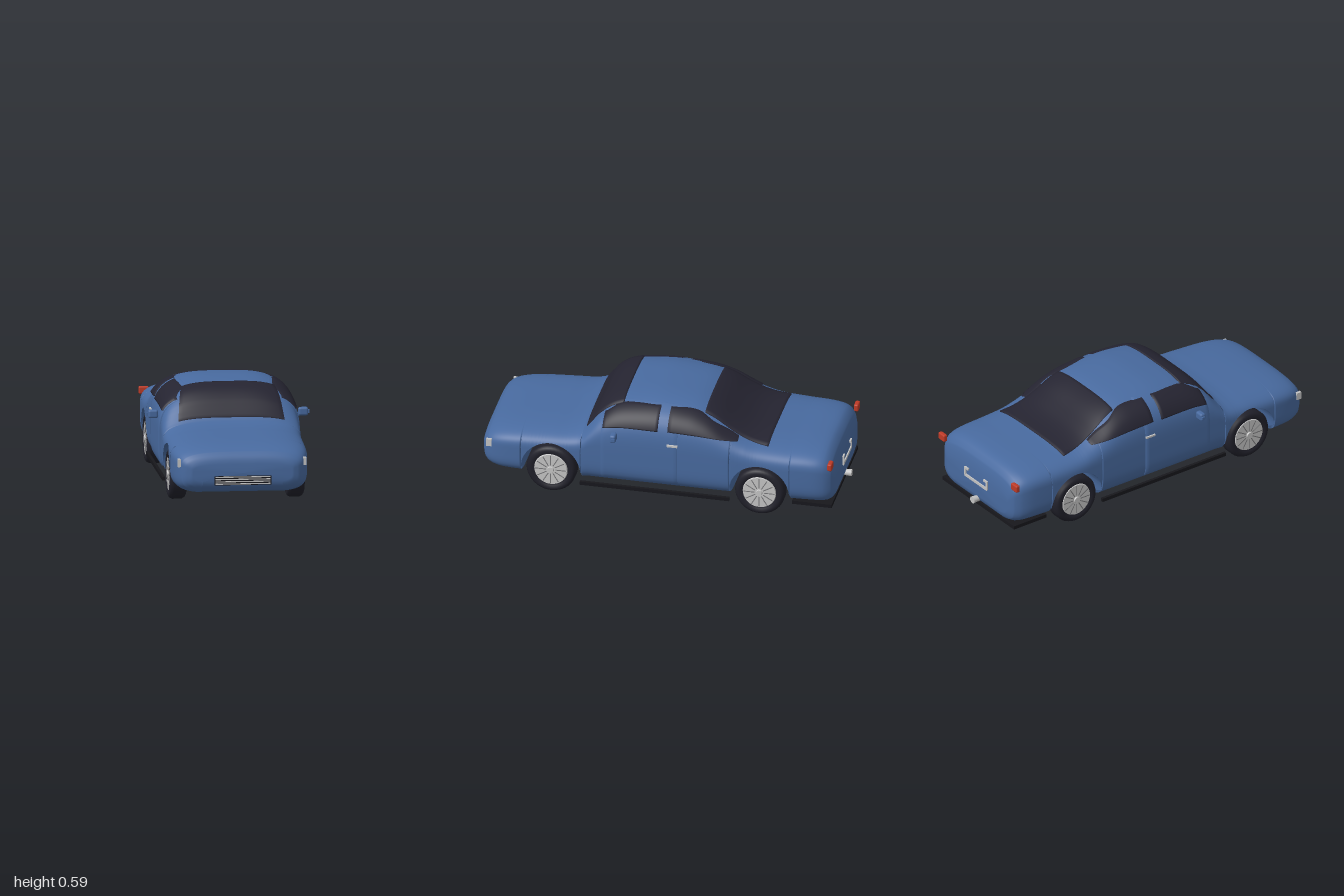
import * as THREE from 'three';
import { RoundedBoxGeometry } from 'three/addons/geometries/RoundedBoxGeometry.js';

const mat = (name, color) => {
  const m = new THREE.MeshStandardMaterial({ color });
  m.name = name;
  return m;
};

// smooth interpolation through [z, value] points
function curve(pts) {
  const n = pts.length;
  const slope = i => {
    const a = pts[Math.max(i - 1, 0)], b = pts[Math.min(i + 1, n - 1)];
    return (b[1] - a[1]) / (b[0] - a[0]);
  };
  return z => {
    if (z <= pts[0][0]) return pts[0][1];
    if (z >= pts[n - 1][0]) return pts[n - 1][1];
    let i = 0;
    while (z > pts[i + 1][0]) i++;
    const h = pts[i + 1][0] - pts[i][0], t = (z - pts[i][0]) / h, t2 = t * t, t3 = t2 * t;
    return (2 * t3 - 3 * t2 + 1) * pts[i][1] + (t3 - 2 * t2 + t) * h * slope(i)
      + (3 * t2 - 2 * t3) * pts[i + 1][1] + (t3 - t2) * h * slope(i + 1);
  };
}

// body shape along its length: roofline, half width and underside
const top = curve([[-.97, .26], [-.96, .33], [-.93, .38], [-.85, .4], [-.7, .405], [-.55, .415], [-.47, .435],
  [-.39, .475], [-.31, .525], [-.25, .552], [-.17, .572], [0, .586], [.12, .58], [.225, .565], [.29, .54],
  [.35, .49], [.385, .44], [.43, .392], [.5, .373], [.6, .366], [.8, .352], [.9, .336], [.95, .315], [.98, .28], [.988, .25]]);
const halfWidth = curve([[-.97, .27], [-.96, .31], [-.93, .343], [-.85, .365], [-.6, .375], [-.1, .379],
  [.3, .379], [.7, .375], [.85, .366], [.93, .345], [.97, .315], [.988, .27]]);
const bottom = curve([[-.97, .13], [-.96, .1], [-.93, .08], [-.85, .078], [.85, .078], [.9, .081], [.95, .095], [.98, .125], [.988, .15]]);
const UP = 3.3, LOW = 5, ARCH = .165, AXLES = [.595, -.565], AXLE_Y = .138;

const section = z => {
  const T = top(z), B = bottom(z), W = halfWidth(z);
  return { T, B, W, yb: Math.min(.29, B + .6 * (T - B)) };
};
// surface lookups used to lay panels on the body
function sideX(z, y) {
  const { T, B, W, yb } = section(z);
  const d = y > yb ? (y - yb) / (T - yb) : (yb - y) / (yb - B), n = y > yb ? UP : LOW;
  return W * Math.pow(Math.max(0, 1 - Math.pow(d, n)), 1 / n);
}
function topY(x, z) {
  const { T, W, yb } = section(z);
  return yb + (T - yb) * Math.pow(Math.max(0, 1 - Math.pow(Math.abs(x) / W, UP)), 1 / UP);
}
// underside height, raised over the wheels
function sillY(z) {
  let y = bottom(z) + .005;
  for (const c of AXLES) {
    const d = Math.abs(z - c);
    if (d <= ARCH) y = AXLE_Y + Math.sqrt(ARCH * ARCH - d * d);
    else if (d < ARCH + .005) y += (AXLE_Y - y) * (1 - (d - ARCH) / .005);
  }
  return y;
}

// surface from rows of points
function grid(rows) {
  const pos = [], idx = [], w = rows[0].length;
  rows.forEach(r => r.forEach(p => pos.push(...p)));
  for (let i = 0; i < rows.length - 1; i++) for (let j = 0; j < w - 1; j++) {
    const a = i * w + j, b = a + 1, c = a + w, d = c + 1;
    idx.push(a, b, c, b, d, c);
  }
  const g = new THREE.BufferGeometry();
  g.setAttribute('position', new THREE.Float32BufferAttribute(pos, 3));
  g.setIndex(idx);
  g.computeVertexNormals();
  return g;
}

// panel following f(u, v, offset), with its border turned down into the body
function panel(f, off, flip = false, n = 18) {
  const rows = [];
  for (let i = -1; i <= n + 1; i++) {
    const row = [];
    for (let j = -1; j <= n + 1; j++) {
      const edge = i < 0 || j < 0 || i > n || j > n;
      const u = THREE.MathUtils.clamp(i / n, 0, 1), v = THREE.MathUtils.clamp(j / n, 0, 1);
      row.push(f(u, v, edge ? -.002 : off));
    }
    rows.push(flip ? row.reverse() : row);
  }
  return grid(rows);
}

export function createModel() {
  const car = new THREE.Group();
  const paint = mat('bluePaint', 0x486a9f), glass = mat('darkGlass', 0x252431), rubber = mat('tyreRubber', 0x20202a);
  const silver = mat('silver', 0xc4c4c4), red = mat('redLamp', 0xbd3a26), black = mat('blackTrim', 0x17171c);
  const groove = mat('rimGroove', 0x77777a);
  const add = (name, geo, m, x = 0, y = 0, z = 0, parent = car) => {
    const mesh = new THREE.Mesh(geo, m);
    mesh.name = name;
    mesh.position.set(x, y, z);
    parent.add(mesh);
    return mesh;
  };
  const box = (name, w, h, d, m, x, y, z, parent) => add(name, new THREE.BoxGeometry(w, h, d), m, x, y, z, parent);
  const { lerp } = THREE.MathUtils;

  // body shell and floor, lofted along z
  const zs = [-.97, -.967, -.963, -.955, .955, .97, .977, .983, .988];
  for (let i = 0; i <= 95; i++) zs.push(-.95 + i * .02);
  for (const c of AXLES) {
    for (let k = 0; k <= 28; k++) zs.push(c + ARCH * Math.cos(k * Math.PI / 28));
    for (const d of [.17, .173]) zs.push(c + d, c - d);
  }
  zs.sort((a, b) => a - b);
  const stations = zs.filter((z, i) => !i || z - zs[i - 1] > 1e-4);
  const shell = [], floor = [], N = 44;
  for (const z of stations) {
    const { T, B, W, yb } = section(z), y0 = sillY(z);
    const s0 = y0 < yb ? -Math.pow((yb - y0) / (yb - B), LOW / 2) : Math.pow((y0 - yb) / (T - yb), UP / 2);
    const t0 = Math.asin(s0), half = [];
    for (let j = 0; j <= N; j++) {
      const t = lerp(t0, Math.PI / 2, j / N), s = Math.sin(t), n = s < 0 ? LOW : UP;
      const x = W * Math.pow(Math.max(0, Math.cos(t)), 2 / n);
      half.push([x, s < 0 ? yb - (yb - B) * Math.pow(-s, 2 / n) : yb + (T - yb) * Math.pow(s, 2 / n), z]);
    }
    shell.push([...half, ...half.slice(0, -1).reverse().map(p => [-p[0], p[1], p[2]])]);
    floor.push([-1, -.5, 0, .5, 1].map(k => [k * half[0][0], y0, z]));
  }
  for (const rows of [shell, floor]) {
    rows.unshift(rows[0].map(() => [0, .2, -.973]));
    rows.push(rows[0].map(() => [0, .2, .991]));
  }
  add('bodyShell', grid(shell), paint);
  add('floor', grid(floor), paint);

  // windscreen and rear window
  const screen = (z0, z1, w0, w1) => panel((u, v, o) => {
    const z = lerp(z0, z1, u), x = lerp(1, -1, v) * lerp(w0, w1, u);
    return [x, topY(x, z) + o, z];
  }, .008, false, 24);
  add('windscreen', screen(.21, .41, .255, .29), glass);
  add('rearWindow', screen(-.6, -.24, .25, .292), glass).geometry = screen(-.6, -.24, .292, .25);

  // doors and side windows
  const windowTop = curve([[-.435, .43], [-.3, .5], [-.2, .545], [-.055, .556], [0, .558], [.15, .553], [.23, .54], [.31, .495]]);
  const frontSill = curve([[-.12, .45], [.2, .45], [.31, .435]]);
  const rearSill = curve([[-.435, .418], [-.25, .445], [-.055, .455]]);
  const sidePanel = (s, z0, z1, lo, hi, off) => panel((u, v, o) => {
    const z = lerp(z0, z1, u), y = lerp(lo(z), hi(z), v);
    return [s * (sideX(z, y) + o), y, z];
  }, off, s < 0);
  for (const s of [1, -1]) {
    const side = s > 0 ? 'left' : 'right', bulge = s > 0 ? .005 : .009;
    add(side + 'Door', sidePanel(s, -.11, .315, () => .135, z => windowTop(z) + .006, bulge), paint);
    add(side + 'FrontWindow', sidePanel(s, 0, .308, frontSill, windowTop, bulge + .006), glass);
    add(side + 'RearWindow', sidePanel(s, -.435, -.055, rearSill, windowTop, bulge + .006), glass);
    box(side + 'DoorHandle', .012, .01, .06, silver, s * .388, .38, -.085);

    // wing mirror
    add(side + 'Mirror', new RoundedBoxGeometry(.054, .046, .034, 3, .012), paint, s * .41, .407, .237);
    box(side + 'MirrorTip', .02, .018, .018, paint, s * .435, .406, .232);
    box(side + 'MirrorStem', .04, .016, .016, paint, s * .385, .392, .237);

    // sill bar and lamps
    box(side + 'SillBar', .016, .02, .83, black, s * .372, .081, .015);
    box(side + 'Headlamp', .016, .042, .03, silver, s * .343, .254, .943);
    add(side + 'TailLamp', new RoundedBoxGeometry(.055, .042, .026, 2, .008), red, s * .334, .336, -.954);

    // wheels
    for (const z of AXLES) {
      const wheel = new THREE.Group();
      wheel.name = side + (z > 0 ? 'FrontWheel' : 'RearWheel');
      wheel.position.set(s * .322, AXLE_Y, z);
      wheel.rotation.z = -s * Math.PI / 2;
      car.add(wheel);
      const tyre = [[0, -.047], [.118, -.047], [.13, -.04], [.138, -.025], [.138, .025], [.13, .04], [.118, .047], [.098, .047], [.093, .036], [0, .036]];
      add('tyre', new THREE.LatheGeometry(tyre.map(p => new THREE.Vector2(...p)), 40), rubber, 0, 0, 0, wheel);
      add('rim', new THREE.CylinderGeometry(.09, .095, .012, 40), silver, 0, .038, 0, wheel);
      for (let k = 0; k < 12; k++) {
        const a = k * Math.PI / 6;
        const line = box('rimGroove', .06, .002, .005, groove, Math.cos(a) * .056, .0445, -Math.sin(a) * .056, wheel);
        line.rotation.y = a;
      }
      add('hub', new THREE.CylinderGeometry(.016, .02, .01, 20), silver, 0, .046, 0, wheel);
    }
  }

  // grille
  box('grille', .31, .05, .02, black, 0, .16, .984);
  for (let i = 0; i < 4; i++) box('grilleBar', .3, .006, .008, silver, 0, .142 + i * .0125, .993);

  // number plate bracket
  box('plateBracketBar', .2, .016, .012, silver, 0, .218, -.972);
  for (const s of [1, -1]) {
    box('plateBracketArm', .014, .05, .012, silver, s * .098, .24, -.972);
    box('plateBracketTab', .035, .012, .012, silver, s * .087, .262, -.972);
  }

  // rear valance and exhaust
  box('rearValance', .66, .02, .22, black, 0, .08, -.85);
  const pipe = add('exhaust', new THREE.CylinderGeometry(.02, .016, .06, 20), silver, 0, .112, -.97);
  pipe.rotation.x = -Math.PI / 2;
  return car;
}
